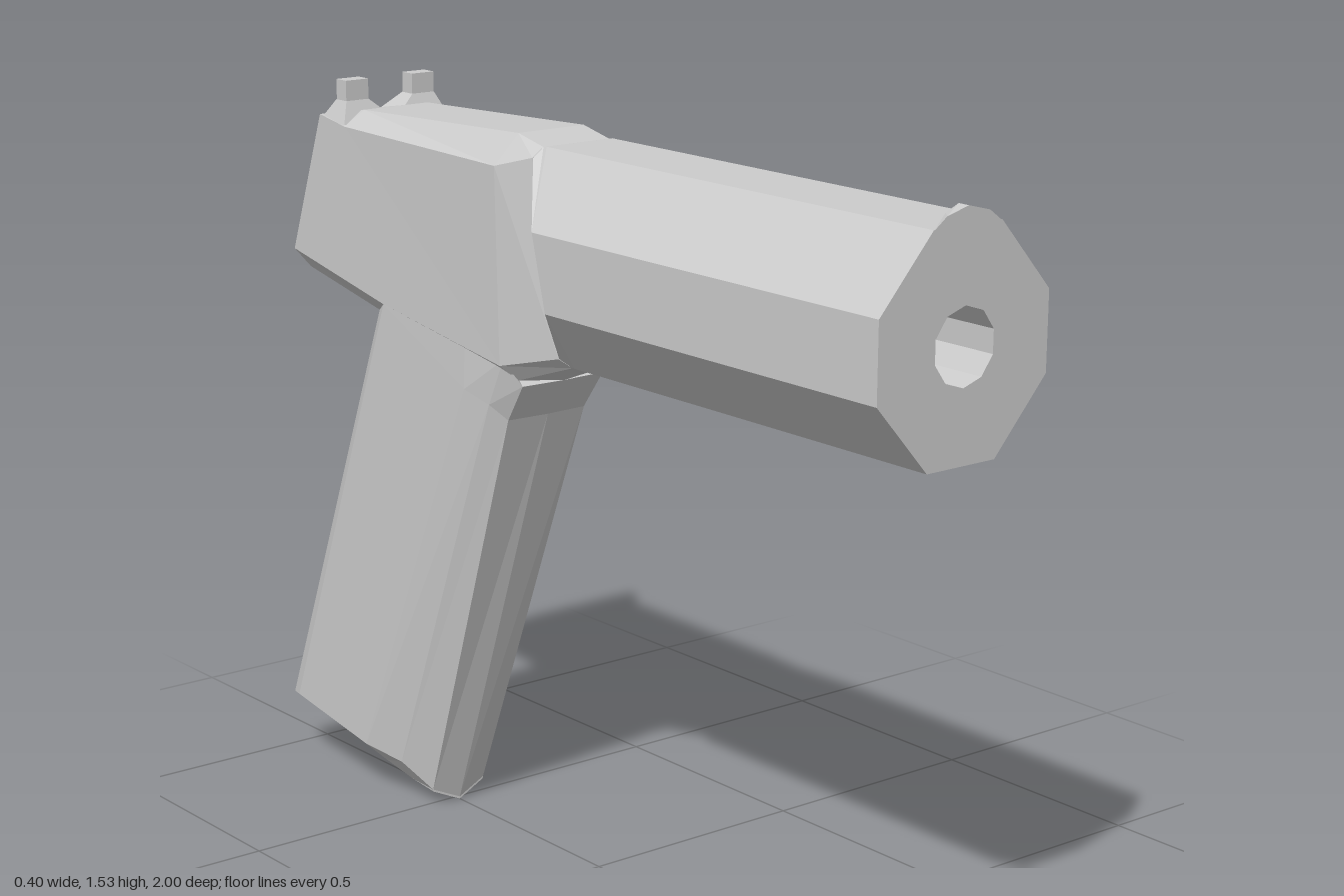
import * as THREE from 'three';

const material = new THREE.MeshStandardMaterial({ color: 0xcccccc, flatShading: true });

// Mirror a half outline (first and last points on x = 0) into a closed ring.
const mirrorRing = (half) => [
  ...half,
  ...half.slice(1, -1).reverse().map(([x, y, z]) => [-x, y, z]),
];

// Skin a run of mirrored half outlines and close both ends.
function loft(name, halves) {
  const rings = halves.map(mirrorRing);
  const n = rings[0].length;
  const tris = [];
  for (let r = 0; r < rings.length - 1; r++) {
    for (let i = 0; i < n; i++) {
      const j = (i + 1) % n;
      const [a, b, c, d] = [rings[r][i], rings[r][j], rings[r + 1][j], rings[r + 1][i]];
      tris.push([a, b, c], [a, c, d]);
    }
  }
  const cap = (half, flip) => {
    const ring = mirrorRing(half);
    const end = half[half.length - 1];
    const mid = half[0].map((v, k) => (v + end[k]) / 2);
    ring.forEach((p, i) => {
      const q = ring[(i + 1) % n];
      tris.push(flip ? [mid, q, p] : [mid, p, q]);
    });
  };
  cap(halves[0], true);
  cap(halves[halves.length - 1], false);

  // Turn all faces outward if the enclosed volume is negative.
  const [a, b, c] = [new THREE.Vector3(), new THREE.Vector3(), new THREE.Vector3()];
  let volume = 0;
  for (const t of tris) {
    a.fromArray(t[0]); b.fromArray(t[1]); c.fromArray(t[2]);
    volume += a.dot(b.cross(c));
  }
  if (volume < 0) tris.forEach((t) => t.reverse());

  const geometry = new THREE.BufferGeometry();
  geometry.setAttribute('position', new THREE.Float32BufferAttribute(tris.flat(2), 3));
  geometry.computeVertexNormals();
  const mesh = new THREE.Mesh(geometry, material);
  mesh.name = name;
  return mesh;
}

// Barrel: eight-sided tube with a blind bore, tapering back to the neck.
function createBarrel() {
  const bore = (z) => Array.from({ length: 6 }, (_, i) => {
    const t = (i * Math.PI) / 5;
    return [i % 5 ? 0.072 * Math.sin(t) : 0, 1.27 + 0.072 * Math.cos(t), z];
  });
  const octagon = (zTop, zUpper, zLower, zBottom) => [
    [0, 1.48, zTop], [0.08, 1.48, zTop], [0.2, 1.345, zUpper],
    [0.2, 1.195, zLower], [0.08, 1.06, zBottom], [0, 1.06, zBottom],
  ];
  const neck = [
    [0, 1.478, -0.07], [0.08, 1.478, -0.07], [0.105, 1.46, -0.07],
    [0.105, 1.08, 0.01], [0.08, 1.06, 0.02], [0, 1.06, 0.02],
  ];
  return loft('barrel', [
    bore(0.5), bore(1), octagon(1, 1, 1, 1), octagon(-0.06, 0.05, 0.09, 0.025), neck,
  ]);
}

// Receiver: bevelled body from the neck to the sloping rear face.
function createReceiver() {
  return loft('receiver', [
    [[0, 1.478, -0.07], [0.08, 1.478, -0.07], [0.107, 1.46, -0.07],
      [0.107, 1.08, 0.01], [0.08, 1.06, 0.02], [0, 1.06, 0.02]],
    [[0, 1.495, -0.15], [0.08, 1.495, -0.15], [0.132, 1.435, -0.16],
      [0.13, 1.04, -0.15], [0.1, 1.01, -0.13], [0, 1.0, -0.11]],
    [[0, 1.475, -0.68], [0.08, 1.475, -0.68], [0.13, 1.445, -0.68],
      [0.13, 1.095, -0.55], [0.09, 1.065, -0.62], [0, 1.065, -0.63]],
    [[0, 1.46, -0.77], [0.08, 1.46, -0.77], [0.13, 1.46, -0.77],
      [0.13, 1.16, -0.88], [0.1, 1.12, -0.865], [0, 1.12, -0.865]],
  ]);
}

// Grip: raked and faceted, with a bevelled foot and a throat under the barrel.
function createGrip() {
  return loft('grip', [
    [[0, 0, -0.485], [0.065, 0.03, -0.49], [0.07, 0.04, -0.56], [0.075, 0.058, -0.65],
      [0.08, 0.108, -0.9], [0.09, 0.125, -0.98], [0, 0.105, -1]],
    [[0, 0.005, -0.485], [0.066, 0.035, -0.49], [0.105, 0.09, -0.55], [0.128, 0.107, -0.65],
      [0.13, 0.15, -0.91], [0.095, 0.13, -0.982], [0, 0.112, -1]],
    [[0, 0.92, -0.165], [0.095, 0.92, -0.17], [0.12, 0.95, -0.2], [0.13, 0.97, -0.27],
      [0.13, 1.095, -0.55], [0.09, 1.085, -0.615], [0, 1.07, -0.63]],
    [[0, 1.0, -0.11], [0.1, 1.0, -0.115], [0.122, 1.05, -0.15], [0.128, 1.07, -0.27],
      [0.128, 1.15, -0.55], [0.09, 1.15, -0.6], [0, 1.15, -0.61]],
  ]);
}

// Front sight: low rounded bump at the muzzle.
function createFrontSight() {
  const outline = (z, s) => [
    [0, 1.513, z], [0.05 * s, 1.5, z], [0.08 * s, 1.478, z], [0, 1.478, z],
  ];
  return loft('frontSight', [outline(1, 1), outline(0.975, 0.6)]);
}

// Rear sight half: a tapered base carrying a small square post.
function createRearSight(side) {
  const group = new THREE.Group();
  group.name = side > 0 ? 'leftRearSight' : 'rightRearSight';
  const base = new THREE.BoxGeometry(1, 1, 1);
  const p = base.attributes.position;
  for (let i = 0; i < p.count; i++) {
    const top = p.getY(i) > 0;
    const x = side * p.getX(i) > 0 ? (top ? 0.11 : 0.13) : (top ? 0.055 : 0);
    const z = p.getZ(i) > 0 ? (top ? -0.7 : -0.68) : (top ? -0.737 : -0.77);
    p.setXYZ(i, side * x, top ? 1.493 : 1.448, z);
  }
  base.computeVertexNormals();
  const baseMesh = new THREE.Mesh(base, material);
  baseMesh.name = 'sightBase';
  const post = new THREE.Mesh(new THREE.BoxGeometry(0.055, 0.05, 0.035), material);
  post.name = 'sightPost';
  post.position.set(side * 0.0825, 1.51, -0.718);
  group.add(baseMesh, post);
  return group;
}

export function createModel() {
  const model = new THREE.Group();
  model.name = 'pistol';
  model.add(
    createBarrel(), createReceiver(), createGrip(), createFrontSight(),
    createRearSight(1), createRearSight(-1),
  );
  return model;
}
